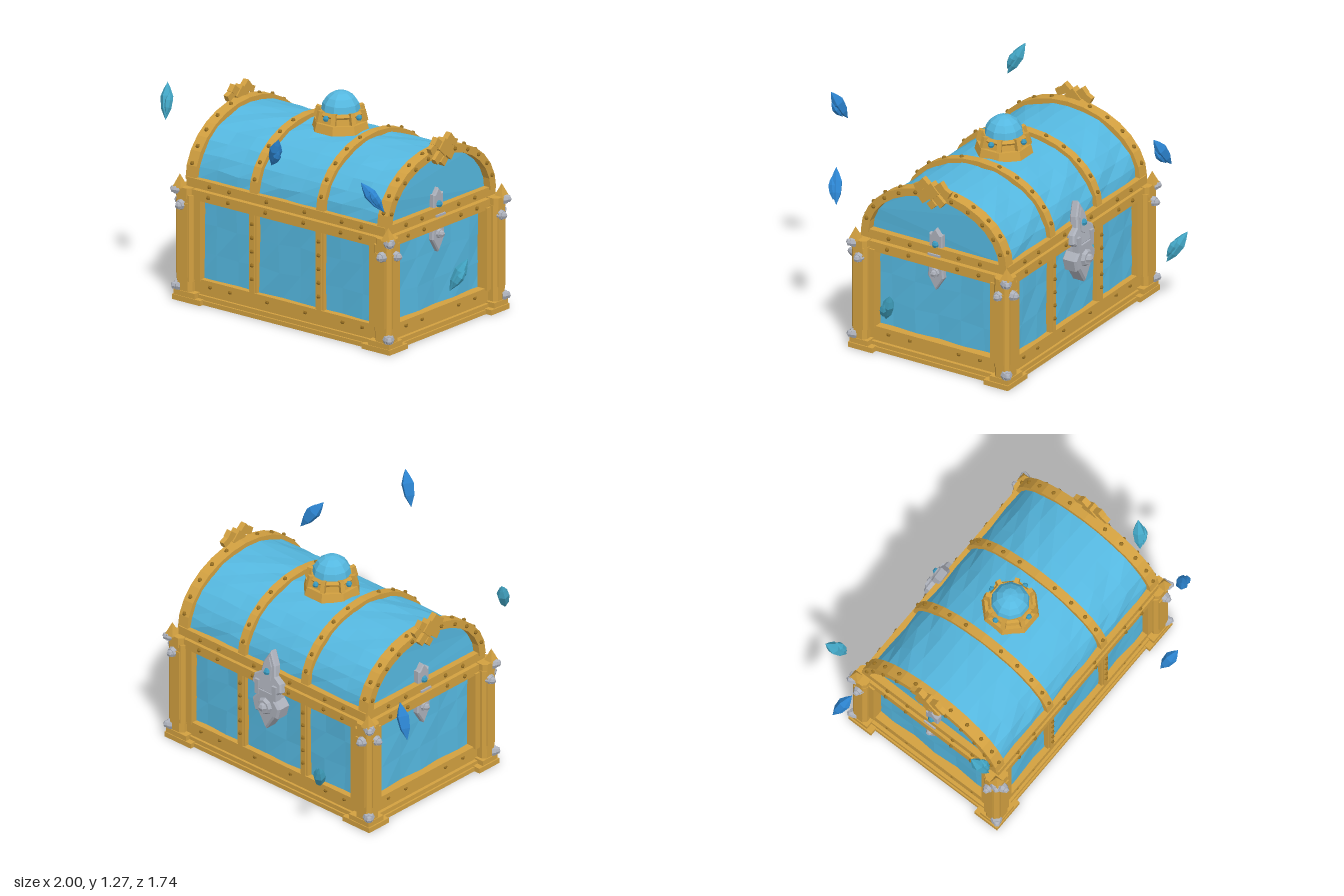
import * as THREE from 'three';

const mat = (name, color) => new THREE.MeshStandardMaterial({ name, color, flatShading: true });

export function createModel() {
  const gold = mat('gold', 0xd2a040), darkGold = mat('dark gold', 0x987022), blue = mat('pale blue', 0x55b8e0);
  const silver = mat('silver', 0xacb0ba), gemBlue = mat('gem blue', 0x3a9ac0);
  const deep = mat('deep blue crystal', 0x2c84d0), teal = mat('teal crystal', 0x42a5c4);

  const model = new THREE.Group();
  model.name = 'treasureChest';
  const chest = new THREE.Group();
  chest.name = 'chest';
  chest.position.z = -0.075;
  model.add(chest);

  const add = (parent, name, geo, m, x = 0, y = 0, z = 0) => {
    const mesh = new THREE.Mesh(geo, m);
    mesh.name = name;
    mesh.position.set(x, y, z);
    parent.add(mesh);
    return mesh;
  };
  const box = (parent, name, m, w, h, d, x, y, z) =>
    add(parent, name, new THREE.BoxGeometry(w, h, d), m, x, y, z);
  const group = (name, parent) => {
    const g = new THREE.Group();
    g.name = name;
    parent.add(g);
    return g;
  };
  const poly = (pts, depth, bevel = 0) => new THREE.ExtrudeGeometry(
    new THREE.Shape(pts.map(p => new THREE.Vector2(...p))),
    { depth, bevelEnabled: bevel > 0, bevelSize: bevel, bevelThickness: bevel, bevelSegments: 1, bevelOffset: -bevel });
  const mirrored = half => [...half, ...half.slice().reverse().filter(p => p[0] !== 0).map(([x, y]) => [-x, y])];

  // Uneven hammered look for the blue panels
  const roughen = (geo, amp) => {
    const p = geo.attributes.position, v = new THREE.Vector3();
    for (let i = 0; i < p.count; i++) {
      v.fromBufferAttribute(p, i);
      const { x, y, z } = v;
      p.setXYZ(i, x + amp * Math.sin(31 * y + 23 * z), y + amp * Math.sin(19 * x + 27 * z), z + amp * Math.sin(17 * x + 29 * y));
    }
    return geo;
  };
  // Small round rivet, and a large faceted bolt facing direction (x, z)
  const rivetGeo = new THREE.SphereGeometry(0.013, 6, 4);
  const rivet = (x, y, z) => add(chest, 'rivet', rivetGeo, darkGold, x, y, z);
  const bolt = (parent, x, y, z, dx, dz, s = 1) => {
    const g = group('bolt', parent);
    g.position.set(x, y, z);
    g.rotation.y = Math.atan2(dx, dz);
    g.scale.setScalar(s);
    add(g, 'boltCollar', new THREE.CylinderGeometry(0.026, 0.034, 0.025, 8).rotateX(Math.PI / 2), silver);
    add(g, 'boltHead', new THREE.SphereGeometry(0.022, 6, 4), silver, 0, 0, 0.015);
  };

  // Base, body and rims
  box(chest, 'basePlate', gold, 1.47, 0.025, 1.0, 0, 0.0125, 0);
  box(chest, 'baseLip', gold, 1.45, 0.025, 0.98, 0, 0.0375, 0);
  box(chest, 'baseSkirt', gold, 1.41, 0.065, 0.95, 0, 0.0825, 0);
  box(chest, 'baseMoulding', gold, 1.43, 0.025, 0.97, 0, 0.1275, 0);
  add(chest, 'bodyPanels', roughen(new THREE.BoxGeometry(1.33, 0.5, 0.9, 9, 3, 6), 0.006), blue, 0, 0.37, 0);
  box(chest, 'bodyRim', gold, 1.44, 0.058, 0.985, 0, 0.626, 0);
  box(chest, 'lidRim', gold, 1.41, 0.052, 0.965, 0, 0.69, 0);

  // Arched lid: an elliptic profile pulled along x
  const arc = (a, b, n = 14) => Array.from({ length: n + 1 }, (_, i) => {
    const t = Math.PI * i / n;
    return [a * Math.cos(t), b * Math.sin(t)];
  });
  const alongX = (pts, width, steps = 1) => new THREE.ExtrudeGeometry(
    new THREE.Shape(pts.map(p => new THREE.Vector2(...p))), { depth: width, steps, bevelEnabled: false })
    .translate(0, 0, -width / 2).rotateY(Math.PI / 2);
  add(chest, 'lidPanels', roughen(alongX(arc(0.45, 0.335), 1.33, 9), 0.005), blue, 0, 0.7, 0);
  const ribShape = [...arc(0.478, 0.362), ...arc(0.43, 0.315).reverse()];
  for (const x of [-0.68, -0.237, 0.237, 0.68]) {
    const end = Math.abs(x) > 0.5;
    add(chest, 'lidRib', alongX(ribShape, end ? 0.07 : 0.052), gold, x, 0.7, 0);
    for (let i = 1; i < 12; i++) {
      if (i === 6) continue;
      const t = Math.PI * i / 12;
      rivet(x, 0.7 + 0.362 * Math.sin(t), 0.478 * Math.cos(t));
      if (end) rivet(Math.sign(x) * 0.716, 0.7 + 0.338 * Math.sin(t), 0.454 * Math.cos(t));
    }
  }

  // Upright straps and rows of rivets on front and back
  for (const s of [-1, 1]) {
    for (const x of [-0.237, 0.237]) {
      box(chest, 'bodyStrap', gold, 0.055, 0.47, 0.04, x, 0.37, s * 0.457);
      box(chest, 'bodyStrapRidge', gold, 0.032, 0.46, 0.01, x, 0.37, s * 0.48);
      for (const y of [0.22, 0.3, 0.38, 0.46, 0.54]) rivet(x, y, s * 0.485);
    }
    for (const x of [-0.54, -0.4, -0.135, 0.135, 0.4, 0.54]) {
      rivet(x, 0.105, s * 0.476);
      rivet(x, 0.63, s * 0.493);
      rivet(x, 0.69, s * 0.483);
    }
    for (const z of [-0.3, -0.16, 0.16, 0.3]) {
      rivet(s * 0.706, 0.105, z);
      rivet(s * 0.721, 0.63, z);
      rivet(s * 0.706, 0.69, z);
    }
  }

  // Corner posts with feet, caps, points and bolts
  const prism = (w, d, c, h) => poly([[-w + c, -d], [w - c, -d], [w, -d + c], [w, d - c], [w - c, d], [-w + c, d], [-w, d - c], [-w, -d + c]], h).rotateX(-Math.PI / 2);
  for (const sx of [-1, 1]) for (const sz of [-1, 1]) {
    const g = group('cornerPost', chest);
    add(g, 'postColumn', prism(0.06, 0.05, 0.018, 0.5), gold, sx * 0.703, 0.12, sz * 0.465);
    box(g, 'postFrontSlab', gold, 0.06, 0.48, 0.08, sx * 0.63, 0.37, sz * 0.45);
    box(g, 'postSideSlab', gold, 0.09, 0.48, 0.05, sx * 0.685, 0.37, sz * 0.405);
    box(g, 'postFrontTrim', gold, 0.07, 0.43, 0.012, sx * 0.7, 0.36, sz * 0.516);
    box(g, 'postSideTrim', gold, 0.012, 0.43, 0.06, sx * 0.764, 0.36, sz * 0.462);
    add(g, 'postCap', prism(0.055, 0.05, 0.02, 0.06), gold, sx * 0.71, 0.6, sz * 0.468);
    add(g, 'postPoint', new THREE.ConeGeometry(0.042, 0.075, 4).rotateY(Math.PI / 4), gold, sx * 0.74, 0.692, sz * 0.495);
    box(g, 'footPlate', gold, 0.2, 0.03, 0.16, sx * 0.673, 0.015, sz * 0.445);
    add(g, 'footBlock', prism(0.055, 0.048, 0.02, 0.1), gold, sx * 0.705, 0.03, sz * 0.467);
    box(g, 'footFlare', gold, 0.15, 0.03, 0.12, sx * 0.69, 0.045, sz * 0.46);
    bolt(g, sx * 0.757, 0.64, sz * 0.505, sx, sz);
    bolt(g, sx * 0.752, 0.08, sz * 0.505, sx, sz);
    bolt(g, sx * 0.715, 0.56, sz * 0.525, 0, sz, 0.95);
    bolt(g, sx * 0.77, 0.56, sz * 0.458, sx, 0, 0.95);
  }

  // Large clasp on the back
  const clasp = group('backClasp', chest);
  clasp.rotation.y = Math.PI;
  const hasp = add(clasp, 'haspPlate', poly(mirrored([[0, 0.23], [0.045, 0.15], [0.055, 0.09], [0.1, 0.06], [0.11, 0.01], [0.07, -0.02], [0, -0.02]]), 0.035, 0.008), silver, 0, 0.61, 0.49);
  hasp.rotation.x = -0.17;
  add(hasp, 'haspRidge', poly(mirrored([[0, 0.19], [0.025, 0.14], [0.03, 0.06], [0, 0.04]]), 0.012), silver, 0, 0, 0.04);
  add(hasp, 'haspGem', new THREE.SphereGeometry(0.022, 6, 4), gemBlue, 0, 0.105, 0.05);
  add(clasp, 'lockPlate', poly(mirrored([[0, 0.61], [0.065, 0.61], [0.07, 0.56], [0.105, 0.52], [0.085, 0.45], [0.06, 0.45], [0, 0.36]]), 0.07, 0.012), silver, 0, 0, 0.455);
  add(clasp, 'lockBoss', new THREE.CylinderGeometry(0.04, 0.06, 0.03, 8).rotateX(Math.PI / 2), silver, 0, 0.51, 0.54);
  add(clasp, 'lockKnob', new THREE.SphereGeometry(0.028, 6, 4), silver, 0, 0.51, 0.555);
  for (const s of [-1, 1]) box(clasp, 'lockHinge', silver, 0.03, 0.09, 0.04, s * 0.065, 0.61, 0.52);

  // Small clasp and crossed ornament on each end
  for (const s of [-1, 1]) {
    const g = group('endClasp', chest);
    g.rotation.y = s * Math.PI / 2;
    add(g, 'upperPlate', poly(mirrored([[0, 0.825], [0.028, 0.79], [0.044, 0.79], [0.044, 0.7], [0, 0.7]]), 0.035, 0.006), silver, 0, 0, 0.655);
    add(g, 'upperGem', new THREE.SphereGeometry(0.022, 6, 4), gemBlue, 0, 0.73, 0.695);
    box(g, 'clipBar', silver, 0.08, 0.012, 0.02, 0, 0.67, 0.705);
    add(g, 'lowerShield', poly(mirrored([[0, 0.6], [0.048, 0.6], [0.052, 0.53], [0, 0.45]]), 0.035, 0.008), silver, 0, 0, 0.655);
    bolt(g, 0, 0.56, 0.7, 0, 1, 0.95);

    const o = group('endOrnament', chest);
    o.position.set(s * 0.72, 1.06, 0);
    for (const a of [-1, 1]) {
      box(o, 'crossBar', gold, 0.035, 0.045, 0.19, 0, 0, 0).rotation.x = a * 0.7;
      box(o, 'sideKnot', gold, 0.03, 0.04, 0.06, 0, 0.02, a * 0.085).rotation.x = a * 0.45;
    }
    box(o, 'centreDiamond', gold, 0.05, 0.075, 0.075, 0, 0.01, 0).rotation.x = Math.PI / 4;
    box(o, 'lowerDiamond', gold, 0.035, 0.045, 0.045, 0, -0.07, 0).rotation.x = Math.PI / 4;
  }

  // Domed gem in an eight-sided setting
  const top = group('topGem', chest);
  const oct = (r1, r2, h) => new THREE.CylinderGeometry(r1, r2, h, 8).rotateY(Math.PI / 8);
  add(top, 'settingBase', oct(0.152, 0.165, 0.05), gold, 0, 1.05, 0);
  add(top, 'settingTier', oct(0.122, 0.132, 0.045), gold, 0, 1.095, 0);
  add(top, 'settingRing', new THREE.TorusGeometry(0.115, 0.018, 5, 8).rotateX(Math.PI / 2).rotateY(Math.PI / 8), gold, 0, 1.12, 0);
  add(top, 'dome', new THREE.SphereGeometry(0.11, 10, 4, 0, Math.PI * 2, 0, Math.PI / 2), blue, 0, 1.13, 0);
  for (let i = 0; i < 8; i++) {
    const a = (i + 0.5) * Math.PI / 4;
    const prong = box(top, 'prong', gold, 0.025, 0.065, 0.035, Math.sin(a) * 0.13, 1.11, Math.cos(a) * 0.13);
    prong.rotation.set(-0.25, a, 0, 'YXZ');
    if (i % 2) add(top, 'settingGem', new THREE.SphereGeometry(0.018, 6, 4), gemBlue, Math.sin(i * Math.PI / 4 + Math.PI / 4) * 0.13, 1.11, Math.cos(i * Math.PI / 4 + Math.PI / 4) * 0.13);
  }

  // Floating crystals: centre, long axis, colour
  const shard = (r, h) => new THREE.LatheGeometry(
    [[0, -0.5], [0.8, -0.2], [1, 0.12], [0.55, 0.32], [0, 0.5]].map(([x, y]) => new THREE.Vector2(x * r, y * h)), 6);
  const crystals = [
    [[0.27, 1.175, 0.83], [0.09, 0.18, 0.05], deep],
    [[-0.855, 1.12, 0.395], [-0.05, 0.18, -0.08], teal],
    [[-0.945, 0.745, -0.505], [0.1, 0.17, 0.05], deep],
    [[0.735, 0.94, 0.55], [-0.11, 0.17, 0.07], deep],
    [[0.955, 0.41, 0.07], [0.07, 0.18, -0.07], teal],
    [[-0.605, 0.385, -0.82], [-0.07, 0.16, -0.08], teal],
  ];
  for (const [pos, dir, m] of crystals) {
    const g = group('floatingCrystal', model);
    g.position.set(...pos);
    g.quaternion.setFromUnitVectors(new THREE.Vector3(0, 1, 0), new THREE.Vector3(...dir).normalize());
    add(g, 'mainShard', shard(0.036, 0.215), m);
    add(g, 'sideShard', shard(0.024, 0.13), m, 0.022, -0.015, 0.012).rotation.z = -0.12;
  }
  return model;
}
